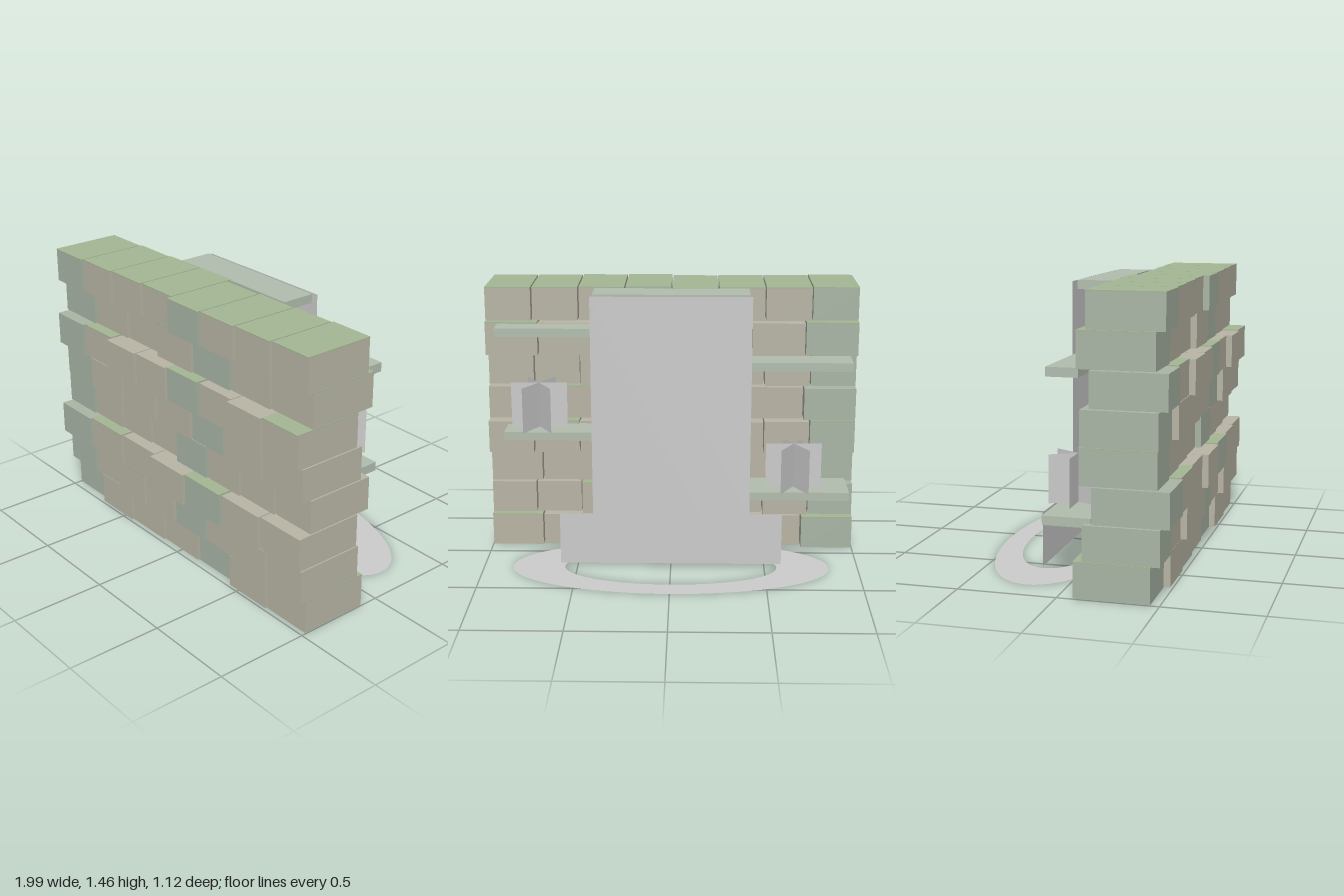
import * as THREE from 'three';

const material = (color, side = THREE.FrontSide) =>
  new THREE.MeshStandardMaterial({ color, side, flatShading: true });

const stone = material(0xb8b5a5);
const sageStone = material(0xa9b5a5);
const moss = material(0xa4b694);
const ledgeStone = material(0xb2bdae);
const plain = material(0xcccccc, THREE.DoubleSide);

function add(parent, name, geometry, mat, x, y, z) {
  const mesh = new THREE.Mesh(geometry, mat);
  mesh.name = name;
  mesh.position.set(x, y, z);
  parent.add(mesh);
  return mesh;
}

// Eight courses, alternating seven and eight blocks, stepped in depth
function createWall() {
  const wall = new THREE.Group();
  wall.name = 'stoneWall';
  const rows = 8, pitch = 0.182, height = 0.176, depth = 0.375, gap = 0.007;
  for (let row = 0; row < rows; row++) {
    const count = row % 2 ? 8 : 7;
    const width = 2 / count;
    const y = 0.01 + row * pitch + height / 2;
    for (let i = 0; i < count; i++) {
      const x = -1 + (i + 0.5) * width;
      const back = 0.08 + (row % 3) * 0.035 + ((row + 3 * i) % 4) * 0.0105;
      const z = back + depth / 2;
      add(wall, 'block', new THREE.BoxGeometry(width - gap, height, depth),
        i % 4 === 0 ? sageStone : stone, x, y, z);
      // Thin moss on the top course and on every third block below
      if (row === rows - 1 || (i + row) % 3 === 0) {
        add(wall, 'mossCap', new THREE.BoxGeometry(width - gap, 0.005, depth + 0.004),
          moss, x, y + height / 2 + 0.002, z);
      }
    }
  }
  return wall;
}

// Slabs jutting out of the back: x from, x to, y bottom, z outer edge, depth
function createLedges() {
  const ledges = new THREE.Group();
  ledges.name = 'ledges';
  const slabs = [
    [-0.41, 0.41, 1.415, -0.065, 0.18],
    [0.21, 0.93, 1.228, -0.037, 0.18],
    [-0.955, -0.3, 1.055, -0.06, 0.16],
    [0.21, 0.89, 0.672, -0.072, 0.24],
    [-0.955, -0.32, 0.345, -0.083, 0.24],
  ];
  for (const [x0, x1, y, z, depth] of slabs) {
    add(ledges, 'ledge', new THREE.BoxGeometry(x1 - x0, 0.046, depth),
      ledgeStone, (x0 + x1) / 2, y + 0.023, z + depth / 2);
  }
  return ledges;
}

// Star of three upright crossed cards
function createPlant(x, y, z) {
  const plant = new THREE.Group();
  plant.name = 'plant';
  for (let i = 0; i < 3; i++) {
    add(plant, 'leafCard', new THREE.PlaneGeometry(0.3, 0.245), plain, 0, 0.1225, 0)
      .rotation.y = i * Math.PI / 3;
  }
  plant.position.set(x, y, z);
  return plant;
}

// Falling sheets, splash card and flat oval ring at the foot
function createWater() {
  const water = new THREE.Group();
  water.name = 'waterfall';
  for (const side of [-1, 1]) {
    add(water, 'waterSheet', new THREE.PlaneGeometry(0.58, 1.2), plain,
      side * 0.132, 0.855, -0.09 - side * 0.001);
  }
  add(water, 'splash', new THREE.PlaneGeometry(1.18, 0.28), plain, 0, 0.165, -0.2);
  const ring = add(water, 'poolRing', new THREE.RingGeometry(0.567, 0.847, 64), plain, 0, 0.008, -0.205);
  ring.rotation.x = -Math.PI / 2;
  ring.scale.y = 0.42;
  return water;
}

export function createModel() {
  const model = new THREE.Group();
  model.name = 'waterfallWall';
  model.add(
    createWall(),
    createLedges(),
    createPlant(0.71, 0.72, 0.03),
    createPlant(-0.66, 0.393, 0.01),
    createWater(),
  );
  return model;
}
